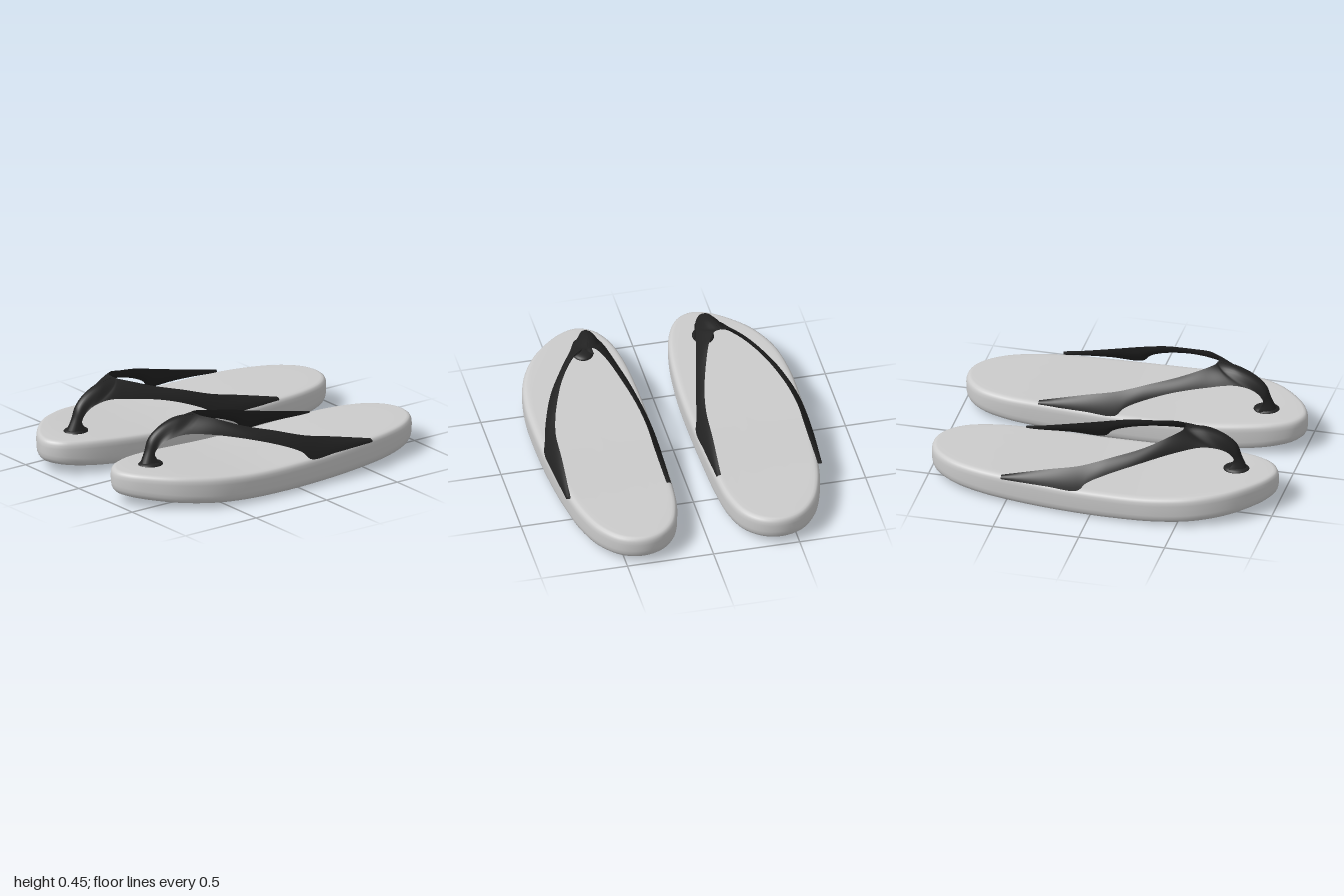
import * as THREE from 'three';

const { smoothstep, lerp } = THREE.MathUtils;
const V = (p) => new THREE.Vector3(...p);

// Skin a list of point rows; closed rows wrap around
function skin(rows, closed = false) {
  const n = rows[0].length, pos = [], idx = [];
  rows.forEach((r) => r.forEach((p) => pos.push(p.x, p.y, p.z)));
  for (let i = 0; i < rows.length - 1; i++) {
    for (let j = 0; j < (closed ? n : n - 1); j++) {
      const k = (j + 1) % n;
      const a = i * n + j, b = a + n, c = i * n + k, d = c + n;
      idx.push(a, b, c, b, d, c);
    }
  }
  const g = new THREE.BufferGeometry();
  g.setAttribute('position', new THREE.Float32BufferAttribute(pos, 3));
  g.setIndex(idx);
  g.computeVertexNormals();
  return g;
}

// Sole heights along its length
const bottomY = (z) => (z > 0 ? 0.06 : 0.035) * z * z;
const topY = (z) => 0.162 + 0.038 * smoothstep(z, 0.15, 0.95) + 0.013 * smoothstep(-z, 0, 0.6);

// Footprint (x, z): heel, outer side, toe, inner side
const FOOTPRINT = [
  [0.4, -1], [0.52, -0.965], [0.625, -0.85], [0.695, -0.67], [0.735, -0.45], [0.765, -0.15],
  [0.777, 0.15], [0.772, 0.4], [0.735, 0.6], [0.65, 0.77], [0.54, 0.89], [0.43, 0.97],
  [0.33, 0.998], [0.24, 0.955], [0.175, 0.85], [0.132, 0.68], [0.108, 0.4],
  [0.106, 0.1], [0.112, -0.2], [0.122, -0.5], [0.145, -0.72], [0.2, -0.88], [0.29, -0.97],
];

function soleGeometry() {
  const outline = new THREE.CatmullRomCurve3(
    FOOTPRINT.map(([x, z]) => new THREE.Vector3(x, 0, z)), true).getPoints(120).slice(0, -1);
  // Each ring: inset from the edge, height blend bottom to top, extra lift
  const rings = [];
  const flat = [1, 0.85, 0.7, 0.55, 0.4, 0.25, 0.13];
  flat.forEach((s) => rings.push([s, 0, 0, true]));
  [[0.04, 0, 0.001], [0.025, 0, 0.006], [0.013, 0, 0.016], [0.005, 0, 0.032], [0.001, 0, 0.055],
    [0, 1, -0.045], [0.002, 1, -0.025], [0.008, 1, -0.01], [0.018, 1, -0.003], [0.032, 1, 0]]
    .forEach((r) => rings.push(r));
  flat.slice().reverse().forEach((s) => rings.push([s, 1, 0, true]));
  const rows = rings.map(([d, t, lift, isScale]) => outline.map((p) => {
    const sx = isScale ? 1 - d : 1 - d / 0.33, sz = 1 - d;
    const x = 0.42 + (p.x - 0.42) * sx, z = p.z * sz;
    return new THREE.Vector3(x, lerp(bottomY(z), topY(z), t) + lift, z);
  }));
  return skin(rows, true);
}

// Ridge of the toe post, from the fork down to the sole
const RIDGE = [[0.385, 0.445, 0.47], [0.36, 0.44, 0.58], [0.35, 0.4, 0.69],
  [0.342, 0.345, 0.755], [0.342, 0.27, 0.785], [0.348, 0.195, 0.82]];

// Upper and lower edges of each arm, from heel-side anchor to toe post
const ARMS = {
  outer: {
    side: 1,
    upper: [[0.72, 0.18, -0.52], [0.705, 0.245, -0.25], [0.7, 0.285, -0.08], [0.68, 0.315, 0.02],
      [0.655, 0.34, 0.1], [0.585, 0.385, 0.27], [0.5, 0.43, 0.4], [0.43, 0.443, 0.46]],
    lower: [[0.742, 0.163, -0.52], [0.76, 0.163, -0.25], [0.765, 0.163, -0.07], [0.75, 0.21, -0.02],
      [0.725, 0.255, 0.07], [0.655, 0.315, 0.25], [0.545, 0.355, 0.44], [0.465, 0.365, 0.57],
      [0.435, 0.355, 0.64], [0.41, 0.33, 0.7], [0.39, 0.295, 0.735], [0.382, 0.26, 0.75],
      [0.385, 0.235, 0.74], [0.4, 0.2, 0.72]],
  },
  inner: {
    side: -1,
    upper: [[0.155, 0.18, -0.52], [0.17, 0.245, -0.25], [0.175, 0.285, -0.08], [0.188, 0.315, 0.02],
      [0.205, 0.34, 0.1], [0.255, 0.385, 0.27], [0.31, 0.43, 0.41], [0.35, 0.443, 0.46]],
    lower: [[0.132, 0.163, -0.52], [0.12, 0.163, -0.25], [0.115, 0.163, -0.07], [0.13, 0.21, -0.02],
      [0.15, 0.255, 0.07], [0.19, 0.315, 0.25], [0.235, 0.35, 0.44], [0.265, 0.365, 0.57],
      [0.28, 0.355, 0.64], [0.29, 0.33, 0.7], [0.297, 0.295, 0.735], [0.3, 0.26, 0.75],
      [0.3, 0.235, 0.74], [0.29, 0.2, 0.72]],
  },
};

// One arm plus its half of the toe post: a curved outer face and a lining
function armFaces({ side, upper, lower }) {
  const up = new THREE.CatmullRomCurve3([...upper, ...RIDGE].map(V));
  const low = new THREE.CatmullRomCurve3(lower.map(V));
  const face = [], lining = [], steps = 78;
  const out = new THREE.Vector3(side * 0.8, 0.6, 0);
  for (let i = 0; i <= steps; i++) {
    const t = i / steps, s = t * 13;
    const U = up.getPoint(t), L = low.getPoint(t);
    const mid = U.clone().lerp(L, 0.5);
    // Bulge blends from a flat band into a rounded post
    const K = mid.clone().addScaledVector(out, 0.015)
      .lerp(new THREE.Vector3(lerp(U.x, L.x, 0.85), U.y, U.z), smoothstep(s, 6, 8.5));
    const B = mid.clone().addScaledVector(out, -0.028)
      .lerp(new THREE.Vector3(U.x, L.y, L.z), smoothstep(s, 8, 11));
    const a = new THREE.QuadraticBezierCurve3(U, K, L).getPoints(8);
    const b = new THREE.QuadraticBezierCurve3(L, B, U).getPoints(8);
    face.push(side > 0 ? a : a.reverse());
    lining.push(side > 0 ? b : b.reverse());
  }
  return [skin(face), skin(lining)];
}

export function createModel() {
  const soleMat = new THREE.MeshStandardMaterial({ color: 0xcccccc });
  const strapMat = new THREE.MeshStandardMaterial({ color: 0x222222, side: THREE.DoubleSide });
  const mesh = (geo, mat, name) => {
    const m = new THREE.Mesh(geo, mat);
    m.name = name;
    return m;
  };

  const soleGeo = soleGeometry();
  const armGeos = Object.entries(ARMS).map(([name, arm]) => [name, armFaces(arm)]);
  const plugGeo = new THREE.SphereGeometry(1, 28, 14);

  const model = new THREE.Group();
  model.name = 'pairOfSandals';
  for (const [name, mirror] of [['leftSandal', 1], ['rightSandal', -1]]) {
    const sandal = new THREE.Group();
    sandal.name = name;
    sandal.add(mesh(soleGeo, soleMat, 'sole'));

    const strap = new THREE.Group();
    strap.name = 'strap';
    for (const [arm, [face, lining]] of armGeos) {
      strap.add(mesh(face, strapMat, arm + 'Arm'), mesh(lining, strapMat, arm + 'ArmLining'));
    }
    // Flared foot of the toe post
    const foot = mesh(plugGeo, strapMat, 'toePostFoot');
    foot.scale.set(0.062, 0.022, 0.075);
    foot.position.set(0.35, 0.194, 0.757);
    strap.add(foot);

    sandal.add(strap);
    sandal.scale.x = mirror;
    model.add(sandal);
  }
  return model;
}
